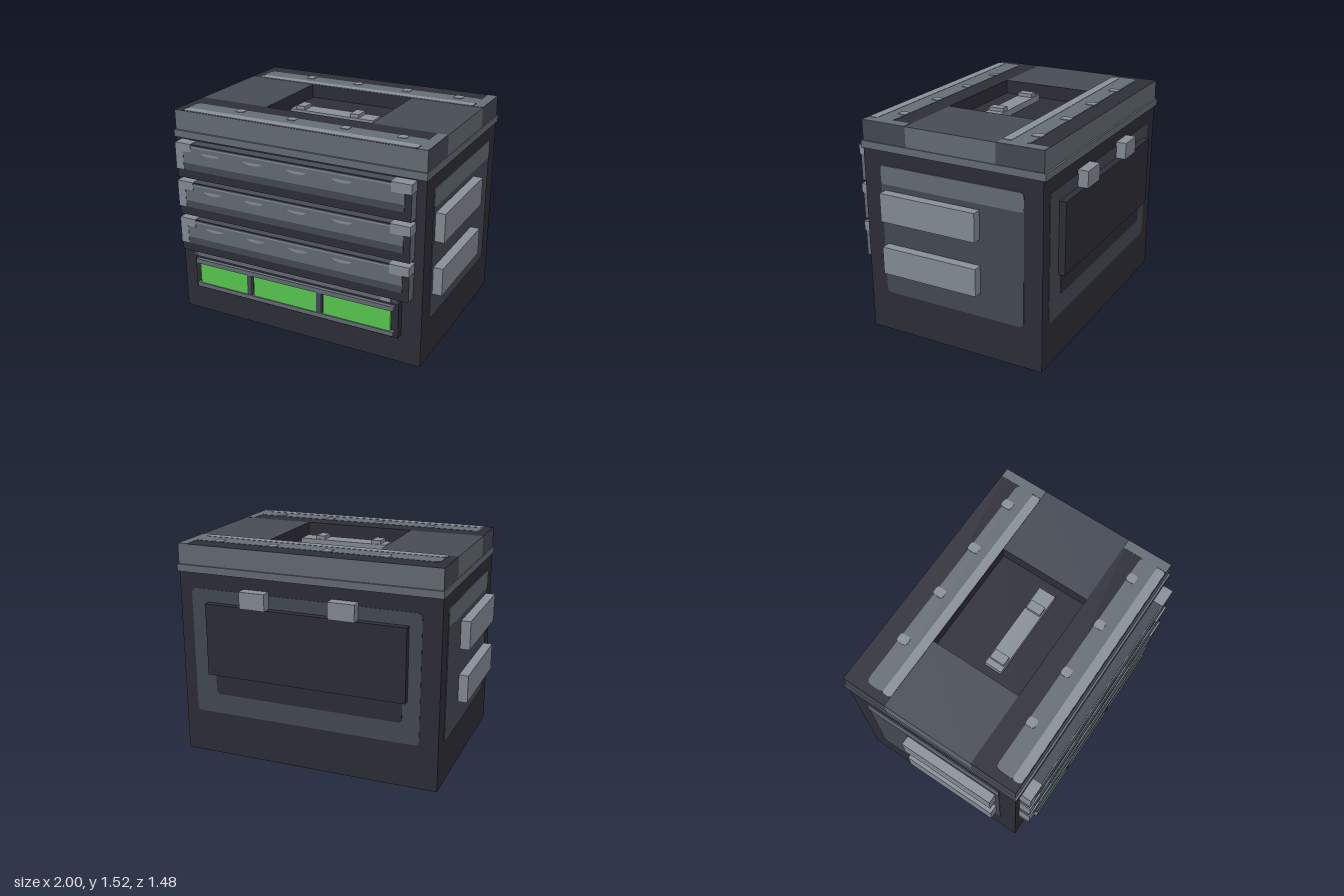
import * as THREE from 'three';

function mat(name, color) {
  const m = new THREE.MeshStandardMaterial({ color });
  m.name = name;
  return m;
}

export function createModel() {
  const root = new THREE.Group();
  root.name = 'storageChest';
  const dark = mat('dark shell', 0x2e2e38);
  const mid = mat('slate panel', 0x464b55);
  const steel = mat('steel trim', 0x666e76);
  const light = mat('light metal', 0x888f98);
  const green = mat('green display', 0x5bcb52);

  // box given by its ranges; m is one material or [right, left, top, bottom, front, back]
  function box(name, m, x0, x1, y0, y1, z0, z1, parent = root) {
    const mesh = new THREE.Mesh(new THREE.BoxGeometry(x1 - x0, y1 - y0, z1 - z0), m);
    mesh.position.set((x0 + x1) / 2, (y0 + y1) / 2, (z0 + z1) / 2);
    mesh.name = name;
    parent.add(mesh);
    return mesh;
  }

  // thin plate with rounded corners, facing +z, centred on its own middle
  function plate(name, m, w, h, r, depth, parent = root) {
    const a = w / 2, b = h / 2;
    const s = new THREE.Shape();
    s.moveTo(-a + r, -b);
    s.lineTo(a - r, -b).quadraticCurveTo(a, -b, a, -b + r);
    s.lineTo(a, b - r).quadraticCurveTo(a, b, a - r, b);
    s.lineTo(-a + r, b).quadraticCurveTo(-a, b, -a, b - r);
    s.lineTo(-a, -b + r).quadraticCurveTo(-a, -b, -a + r, -b);
    const geo = new THREE.ExtrudeGeometry(s, { depth, bevelEnabled: false, curveSegments: 3 });
    const mesh = new THREE.Mesh(geo, m);
    mesh.name = name;
    parent.add(mesh);
    return mesh;
  }

  // shell and lid rim
  box('body', dark, -0.93, 0.93, 0, 1.32, -0.67, 0.65);
  box('lidRim', steel, -0.937, 0.937, 1.32, 1.37, -0.688, 0.664);

  // lid: floor of the recess with four blocks around it
  const lid = new THREE.Group();
  lid.name = 'lid';
  root.add(lid);
  const stripMats = [mid, mid, dark, dark, steel, steel];
  box('recessFloor', dark, -0.4, 0.4, 1.37, 1.412, -0.345, 0.315, lid);
  box('lidFront', [mid, mid, dark, dark, steel, dark], -0.93, 0.93, 1.37, 1.51, 0.315, 0.65, lid);
  box('lidBack', [mid, mid, dark, dark, dark, steel], -0.93, 0.93, 1.37, 1.51, -0.675, -0.345, lid);
  box('lidLeft', [steel, dark, mid, dark, dark, dark], 0.4, 0.93, 1.37, 1.51, -0.345, 0.315, lid);
  box('lidRight', [dark, steel, mid, dark, dark, dark], -0.93, -0.4, 1.37, 1.51, -0.345, 0.315, lid);

  // painted bands, edge strips and studs on the lid; z ranges for band, stripe, studs, edge
  const lidBands = [
    [[0.455, 0.6], [0.58, 0.645], [0.45, 0.515], [0.32, 0.648]],
    [[-0.54, -0.4], [-0.413, -0.348], [-0.55, -0.475], [-0.673, -0.35]],
  ];
  for (const [band, stripe, stud, edge] of lidBands) {
    const b = plate('lidBand', steel, 1.73, band[1] - band[0], 0.04, 0.002, lid);
    b.rotation.x = -Math.PI / 2;
    b.position.set(0, 1.51, (band[0] + band[1]) / 2);
    box('lidEdge', steel, 0.86, 0.928, 1.51, 1.512, edge[0], edge[1], lid);
    const s = plate('lidStripe', light, 1.725, stripe[1] - stripe[0], 0.025, 0.004, lid);
    s.rotation.x = -Math.PI / 2;
    s.position.set(-0.006, 1.51, (stripe[0] + stripe[1]) / 2);
    for (const x of [-0.5, -0.1, 0.295, 0.695]) {
      const p = plate('lidStud', light, 0.065, stud[1] - stud[0], 0.02, 0.006, lid);
      p.rotation.x = -Math.PI / 2;
      p.position.set(x, 1.51, (stud[0] + stud[1]) / 2);
    }
  }

  // carry handle in the recess
  box('handle', light, -0.32, 0.32, 1.415, 1.46, 0, 0.125, lid);
  for (const x of [-0.245, 0.175]) box('handleClip', light, x - 0.033, x + 0.033, 1.46, 1.485, 0.01, 0.117, lid);

  // side panels with a lighter top and two rails each
  for (const side of [1, -1]) {
    const g = new THREE.Group();
    g.name = side > 0 ? 'leftSide' : 'rightSide';
    root.add(g);
    const p = plate('sidePanel', mid, 1.06, 0.925, 0.035, 0.004, g);
    const t = plate('sidePanelTop', steel, 1.06, 0.13, 0.025, 0.006, g);
    for (const m of [p, t]) m.rotation.y = side * Math.PI / 2;
    p.position.set(side * 0.93, 0.757, -0.01);
    t.position.set(side * 0.93, 1.156, -0.01);
    for (const [y0, y1] of [[0.85, 1.05], [0.47, 0.665]]) {
      const r = box('sideRail', light, 0.93, 1, y0, y1, -0.225, 0.49, g);
      r.position.x *= side;
    }
  }

  // back panel, hatch and its two hinges
  const back = plate('backPanel', mid, 1.64, 0.9, 0.035, 0.003);
  back.rotation.y = Math.PI;
  back.position.set(0.02, 0.76, -0.67);
  const inset = plate('backInset', dark, 1.36, 0.6, 0.03, 0.006);
  inset.rotation.y = Math.PI;
  inset.position.set(0, 0.755, -0.67);
  box('backHatch', dark, -0.715, 0.715, 0.61, 1.12, -0.72, -0.67);
  for (const x of [-0.282, 0.352]) box('hinge', light, x - 0.092, x + 0.092, 1.12, 1.237, -0.743, -0.67);

  // three drawers
  for (const top of [1.308, 1.03, 0.752]) {
    const d = new THREE.Group();
    d.name = 'drawer';
    d.position.y = top;
    root.add(d);
    box('drawerBox', [steel, steel, mid, dark, dark, dark], -0.88, 0.865, -0.25, 0, 0.65, 0.727, d);
    box('drawerFace', steel, -0.82, 0.82, -0.138, -0.008, 0.727, 0.733, d);
    box('drawerFaceLower', mid, -0.82, 0.82, -0.187, -0.138, 0.727, 0.733, d);
    box('drawerHighlight', light, -0.75, 0.73, -0.02, -0.008, 0.733, 0.736, d);
    // corner fittings
    box('cornerRight', light, -0.882, -0.82, -0.19, 0.002, 0.65, 0.735, d);
    box('cornerRightTop', light, -0.82, -0.755, -0.055, 0.002, 0.66, 0.736, d);
    box('cornerLeftTop', light, 0.73, 0.868, -0.065, 0.002, 0.65, 0.737, d);
    // small half-moon grips
    for (const x of [-0.595, -0.265, 0.065, 0.395]) {
      const grip = new THREE.Mesh(new THREE.CircleGeometry(0.072, 12, Math.PI, Math.PI), light);
      grip.name = 'drawerGrip';
      grip.scale.y = 0.28;
      grip.position.set(x, -0.05, 0.7345);
      d.add(grip);
    }
  }
  box('drawerGap', steel, -0.8, 0.79, 1.03, 1.058, 0.65, 0.656);

  // ledge under the drawers
  box('ledge', mid, -0.8, 0.79, 0.465, 0.502, 0.65, 0.715);
  box('ledgeTrim', steel, -0.76, 0.74, 0.468, 0.498, 0.715, 0.718);
  box('ledgeTab', light, 0.67, 0.74, 0.468, 0.5, 0.7, 0.72);

  // display with three green windows in a frame
  const display = new THREE.Group();
  display.name = 'display';
  root.add(display);
  box('displayBase', dark, -0.795, 0.79, 0.21, 0.46, 0.65, 0.705, display);
  for (const [y0, y1] of [[0.415, 0.448], [0.23, 0.262]])
    box('displayBar', steel, -0.77, 0.765, y0, y1, 0.705, 0.732, display);
  for (const [x0, x1] of [[-0.742, -0.348], [-0.297, 0.2], [0.25, 0.742]])
    box('displayWindow', green, x0, x1, 0.262, 0.415, 0.705, 0.724, display);
  for (const x of [-0.348, 0.2]) box('displayDivider', mid, x, x + 0.036, 0.262, 0.415, 0.705, 0.73, display);

  return root;
}
